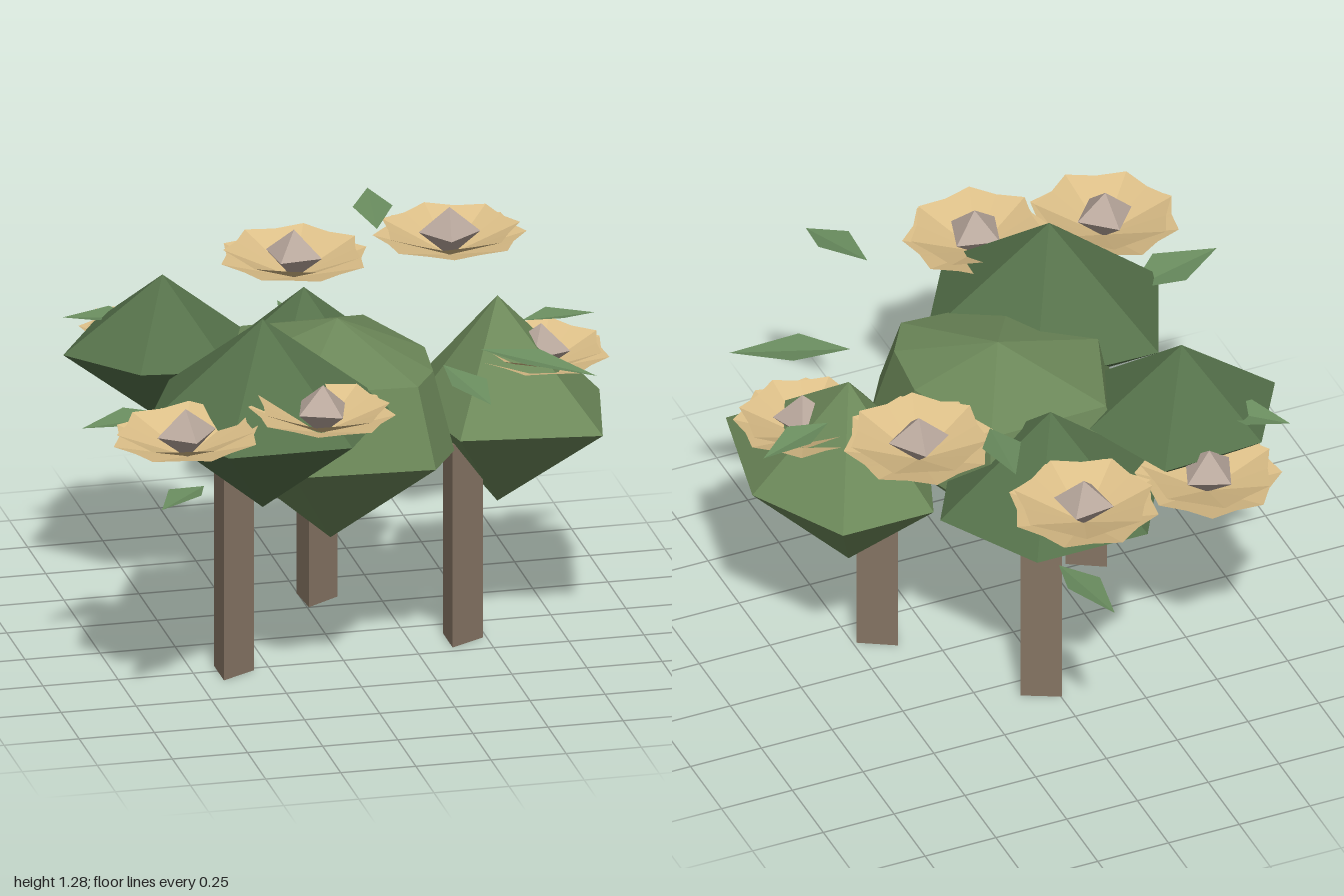
import * as THREE from 'three';

const mat = (color, side = THREE.FrontSide) => new THREE.MeshStandardMaterial({ color, flatShading: true, side });
const bark = mat(0x857463);
const darkGreen = mat(0x55714a);
const lightGreen = mat(0x6c8859);
const leafGreen = mat(0x6a8d5f, THREE.DoubleSide);
const petalTan = mat(0xdcbf88, THREE.DoubleSide);
const budGrey = mat(0xb9a89d);

// Non-indexed geometry from a list of triangles, each three [x, y, z] points
function facets(triangles) {
  const g = new THREE.BufferGeometry();
  g.setAttribute('position', new THREE.Float32BufferAttribute(triangles.flat(2), 3));
  g.computeVertexNormals();
  return g;
}

function add(parent, name, geometry, material) {
  const mesh = new THREE.Mesh(geometry, material);
  mesh.name = name;
  parent.add(mesh);
  return mesh;
}

// Faceted crown: bottom point, equator of [x, z] corners, optional shoulder ring, top point
function crownGeometry({ top, bottom, y, equator, shoulder }) {
  const tris = [];
  const n = equator.length;
  const low = equator.map(([x, z]) => [x, y, z]);
  const high = shoulder
    ? equator.map(([x, z]) => [
      top[0] + (x - top[0]) * shoulder.scale, shoulder.y, top[2] + (z - top[2]) * shoulder.scale])
    : low;
  for (let i = 0; i < n; i++) {
    const j = (i + 1) % n;
    tris.push([bottom, low[i], low[j]], [top, high[j], high[i]]);
    if (shoulder) tris.push([low[i], high[i], high[j]], [low[i], high[j], low[j]]);
  }
  return facets(tris);
}

const hexagon = (cx, cz, r) => Array.from({ length: 6 }, (_, i) => {
  const a = i * Math.PI / 3;
  return [cx + r * Math.cos(a), cz + r * Math.sin(a)];
});

// Leaf: a diamond with a lowered crease, running from base to tip
function leafGeometry(base, tip, width) {
  const a = new THREE.Vector3(...base), b = new THREE.Vector3(...tip);
  const side = new THREE.Vector3(a.z - b.z, 0, b.x - a.x).normalize().multiplyScalar(width / 2);
  const mid = a.clone().lerp(b, 0.45);
  const p = mid.clone().add(side), q = mid.clone().sub(side);
  p.y += 0.015;
  q.y += 0.015;
  const [A, B, P, Q] = [a, b, p, q].map(v => v.toArray());
  return facets([[A, B, P], [A, Q, B]]);
}

// One creased petal, rising from the flower's centre along +x
function petalGeometry(r, rise) {
  const base = [0, 0, 0], tip = [r, rise, 0];
  const left = [r * 0.78, rise * 0.95, -r * 0.38], right = [r * 0.78, rise * 0.95, r * 0.38];
  return facets([[base, tip, left], [base, right, tip]]);
}

// Open flower: two layers of petals around a pointed bud
function flower(x, y, z, r, turn) {
  const g = new THREE.Group();
  g.name = 'flower';
  const layers = [{ r, rise: 0.075, count: 8, turn: 0 }, { r: r * 0.92, rise: 0.1, count: 7, turn: 0.3 }];
  for (const layer of layers) {
    const geometry = petalGeometry(layer.r, layer.rise);
    for (let i = 0; i < layer.count; i++) {
      const petal = add(g, 'petal', geometry, petalTan);
      petal.rotation.y = layer.turn + i * 2 * Math.PI / layer.count;
    }
  }
  const bud = add(g, 'bud', new THREE.OctahedronGeometry(0.1), budGrey);
  bud.scale.y = 0.85;
  bud.position.y = 0.08;
  g.position.set(x, y, z);
  g.rotation.set(0.04 * Math.sin(turn * 3), turn, 0.05 * Math.cos(turn * 5));
  return g;
}

export function createModel() {
  const model = new THREE.Group();
  model.name = 'floweringShrub';

  // Three-sided trunks: x, z, height, turn
  const trunks = [[-0.38, 0.27, 0.8, 0], [0.04, -0.32, 0.75, 0.06], [0.41, 0.15, 0.7, 0]];
  for (const [x, z, h, turn] of trunks) {
    const trunk = add(model, 'trunk', new THREE.CylinderGeometry(0.078, 0.078, h, 3), bark);
    trunk.position.set(x, h / 2, z);
    trunk.rotation.y = Math.PI / 2 + turn;
  }

  // Foliage crowns
  const crowns = [
    ['frontRightCrown', darkGreen, { top: [-0.31, 1.27, 0.42], bottom: [-0.31, 0.62, 0.42], y: 0.94,
      equator: [[0.12, 0.43], [-0.1, 0.79], [-0.51, 0.79], [-0.7, 0.43], [-0.53, 0.04], [-0.1, 0.05]] }],
    ['backRightCrown', darkGreen, { top: [-0.48, 1.19, -0.26], bottom: [-0.47, 0.68, -0.26], y: 0.94,
      equator: [[-0.16, -0.25], [-0.32, 0.02], [-0.61, -0.02], [-0.81, -0.26], [-0.64, -0.54], [-0.29, -0.56]] }],
    ['backCrown', darkGreen, { top: [0, 1.09, -0.3], bottom: [0, 0.5, -0.28], y: 0.77,
      equator: hexagon(0, -0.3, 0.39) }],
    ['leftCrown', lightGreen, { top: [0.56, 1.14, 0.05], bottom: [0.56, 0.43, 0.05], y: 0.785,
      equator: [[0.9, 0.05], [0.81, 0.47], [0.35, 0.41], [0.28, 0.05], [0.4, -0.27], [0.72, -0.27]] }],
    ['centreCrown', lightGreen, { top: [0.02, 1.12, 0.08], bottom: [0, 0.36, 0.07], y: 0.74,
      equator: [[0.37, 0.1], [0.34, 0.37], [0.24, 0.53], [-0.22, 0.5], [-0.43, 0.12], [-0.28, -0.3], [0.22, -0.31]],
      shoulder: { scale: 0.82, y: 1.0 } }],
  ];
  for (const [name, material, shape] of crowns) add(model, name, crownGeometry(shape), material);

  // Flowers: x, base height, z, radius, turn
  const flowers = [
    [-0.63, 0.93, 0.71, 0.25, 0.1], [-0.19, 0.98, 0.73, 0.24, 0.5],
    [0.07, 0.96, -0.73, 0.25, 0.9], [0.51, 1.12, -0.4, 0.25, 1.4],
    [-0.44, 0.82, -0.56, 0.24, 2.0], [0.68, 0.9, 0.13, 0.23, 2.7],
  ];
  for (const f of flowers) model.add(flower(...f));

  // Loose leaves: base, tip, width
  const leaves = [
    [[-0.58, 0.95, 0.38], [-0.92, 0.96, 0.46], 0.18],
    [[-0.54, 1.0, -0.39], [-0.75, 0.97, -0.52], 0.14],
    [[0.28, 1.21, -0.45], [0.32, 1.24, -0.75], 0.13],
    [[0.33, 1.1, 0.92], [0.24, 1.14, 0.63], 0.13],
    [[0.65, 1.03, 0.01], [0.91, 1.01, -0.06], 0.12],
    [[0.44, 1.06, 0.31], [0.78, 1.01, 0.51], 0.15],
    [[-0.58, 0.83, 0.73], [-0.77, 0.84, 0.94], 0.12],
    [[0.12, 0.74, -0.64], [0.08, 0.78, -1.0], 0.12],
  ];
  for (const l of leaves) add(model, 'leaf', leafGeometry(...l), leafGreen);

  return model;
}
